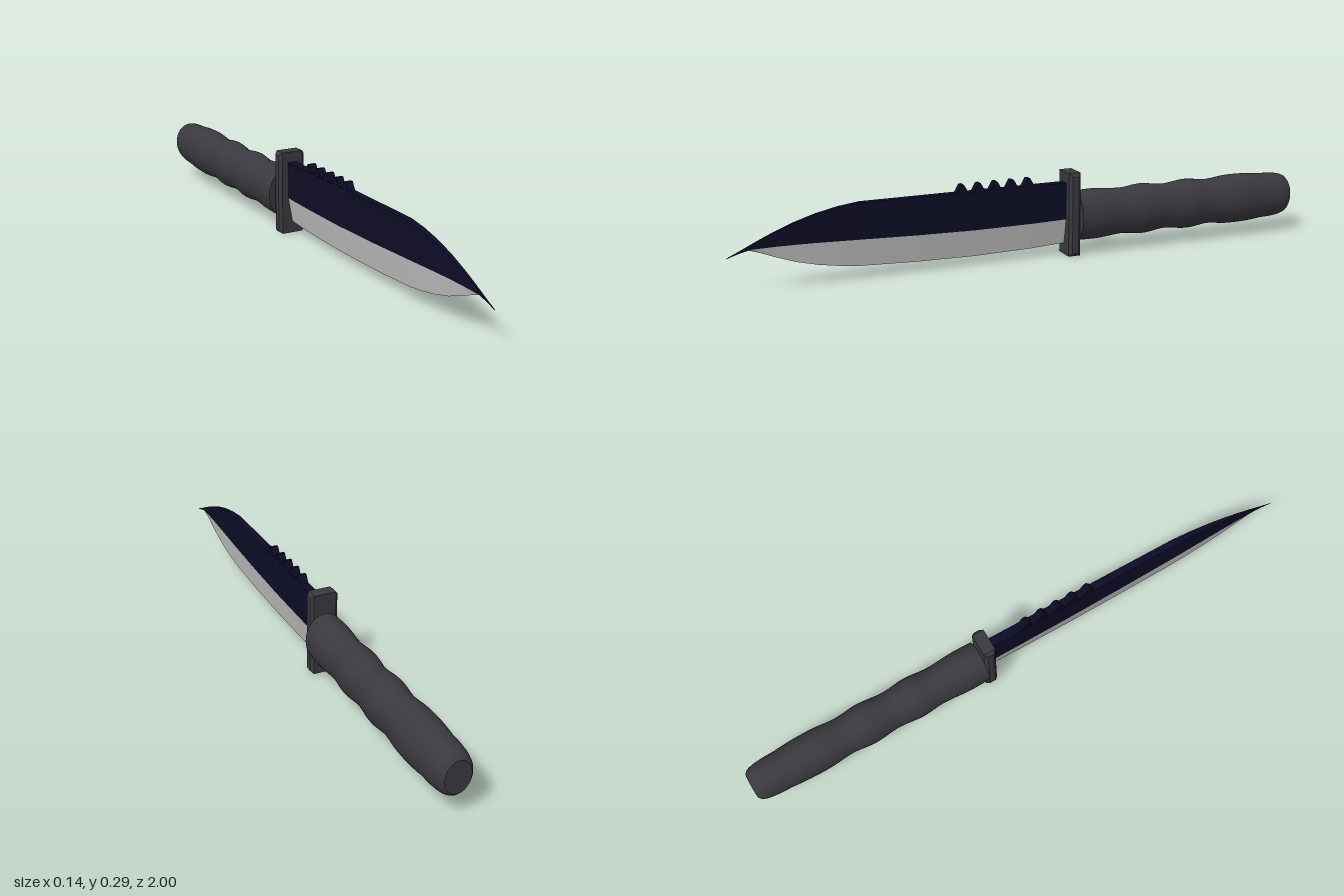
import * as THREE from 'three';

const gripMat = new THREE.MeshStandardMaterial({ color: 0x3a393f });
gripMat.name = 'charcoal grip';
const darkMat = new THREE.MeshStandardMaterial({ color: 0x0d0c26 });
darkMat.name = 'blued steel';
const steelMat = new THREE.MeshStandardMaterial({ color: 0xbebebe });
steelMat.name = 'ground steel';

const GRIP_Y = 0.131, OVAL = 1.27;

function add(parent, name, geometry, material) {
  const mesh = new THREE.Mesh(geometry, material);
  mesh.name = name;
  parent.add(mesh);
  return mesh;
}

// Blade stations: z, spine height, grind line height, edge height, half thickness
const stations = [
  [-0.14, 0.25, 0.125, 0.04, 0.016],
  [0.0, 0.25, 0.122, 0.033, 0.015],
  [0.2, 0.25, 0.121, 0.03, 0.014],
  [0.4, 0.25, 0.125, 0.034, 0.0125],
  [0.58, 0.25, 0.131, 0.042, 0.011],
  [0.65, 0.241, 0.133, 0.05, 0.0095],
  [0.72, 0.226, 0.135, 0.062, 0.008],
  [0.79, 0.205, 0.136, 0.08, 0.006],
  [0.85, 0.182, 0.136, 0.102, 0.0045],
  [0.9, 0.16, 0.135, 0.122, 0.0035],
  [0.93, 0.146, 0.134, 0.132, 0.0025],
  [0.96, 0.132, 0.126, 0.125, 0.0015],
  [1.0, 0.114, 0.113, 0.112, 0.0005],
];

// Flat-shaded skin through equal rings of [x, y, z], each ring an open line
function skin(rings) {
  const pos = [];
  for (let i = 0; i < rings.length - 1; i++) {
    for (let j = 0; j < rings[i].length - 1; j++) {
      const a = rings[i][j], b = rings[i][j + 1], c = rings[i + 1][j + 1], d = rings[i + 1][j];
      pos.push(...a, ...b, ...c, ...a, ...c, ...d);
    }
  }
  const g = new THREE.BufferGeometry();
  g.setAttribute('position', new THREE.Float32BufferAttribute(pos, 3));
  g.computeVertexNormals();
  return g;
}

// Smooth oval body from profile points of [distance behind the origin, half width]
function ovalBody(profile, samples) {
  const curve = new THREE.SplineCurve(profile.map(([d, r]) => new THREE.Vector2(r, d)));
  return new THREE.LatheGeometry(curve.getPoints(samples), 40)
    .rotateX(-Math.PI / 2).scale(1, OVAL, 1).translate(0, GRIP_Y, 0);
}

function ovalCap(radius, z, facing) {
  const g = new THREE.CircleGeometry(radius, 40);
  if (facing < 0) g.rotateY(Math.PI);
  return g.scale(1, OVAL, 1).translate(0, GRIP_Y, z);
}

function createBlade() {
  const blade = new THREE.Group();
  blade.name = 'blade';
  // Dark upper body: right side, spine, left side
  add(blade, 'bladeBody', skin(stations.map(([z, top, mid, , t]) =>
    [[t, mid, z], [t, top, z], [-t, top, z], [-t, mid, z]])), darkMat);
  // Ground bevels meeting at the cutting edge
  add(blade, 'cuttingBevel', skin(stations.map(([z, , mid, low, t]) =>
    [[-t, mid, z], [0, low, z], [t, mid, z]])), steelMat);
  // Saw teeth along the spine
  for (let i = 0; i < 5; i++) {
    const shape = new THREE.Shape();
    shape.moveTo(-0.022, -0.004);
    shape.lineTo(0.022, -0.004);
    shape.lineTo(0.005, 0.026);
    shape.lineTo(-0.005, 0.026);
    shape.closePath();
    const g = new THREE.ExtrudeGeometry(shape, { depth: 0.027, bevelEnabled: false });
    g.translate(0, 0, -0.0135).rotateY(-Math.PI / 2).translate(0, 0.25, 0.01 + i * 0.058);
    add(blade, 'sawTooth', g, darkMat);
  }
  return blade;
}

function createGuard() {
  // Plate whose two side faces are drawn in to form chamfers
  const box = new THREE.BoxGeometry(0.096, 0.286, 0.042, 3, 1, 1);
  const p = box.attributes.position;
  for (let i = 0; i < p.count; i++) {
    if (Math.abs(p.getX(i)) > 0.04) {
      p.setY(i, p.getY(i) - Math.sign(p.getY(i)) * 0.011);
      p.setZ(i, p.getZ(i) - Math.sign(p.getZ(i)) * 0.01);
    } else {
      p.setX(i, Math.sign(p.getX(i)) * 0.038);
    }
  }
  const g = box.toNonIndexed();
  g.computeVertexNormals();
  return g.translate(0, 0.143, -0.145);
}

export function createModel() {
  const knife = new THREE.Group();
  knife.name = 'knife';
  knife.add(createBlade());
  add(knife, 'guard', createGuard(), gripMat);

  // Grip with finger swells
  const handle = new THREE.Group();
  handle.name = 'handle';
  add(handle, 'grip', ovalBody([
    [0.165, 0.067], [0.24, 0.068], [0.335, 0.0625], [0.415, 0.0685], [0.5, 0.0615],
    [0.59, 0.0685], [0.67, 0.062], [0.75, 0.068], [0.82, 0.068], [0.885, 0.064],
  ], 60), gripMat);
  add(handle, 'gripFront', ovalCap(0.067, -0.165, 1), gripMat);

  // Rounded pommel with a flat end
  add(handle, 'pommel', ovalBody([
    [0.88, 0.0635], [0.93, 0.0625], [0.965, 0.059], [0.988, 0.053], [1.0, 0.043],
  ], 20), gripMat);
  add(handle, 'pommelEnd', ovalCap(0.043, -1, -1), gripMat);
  knife.add(handle);
  return knife;
}
